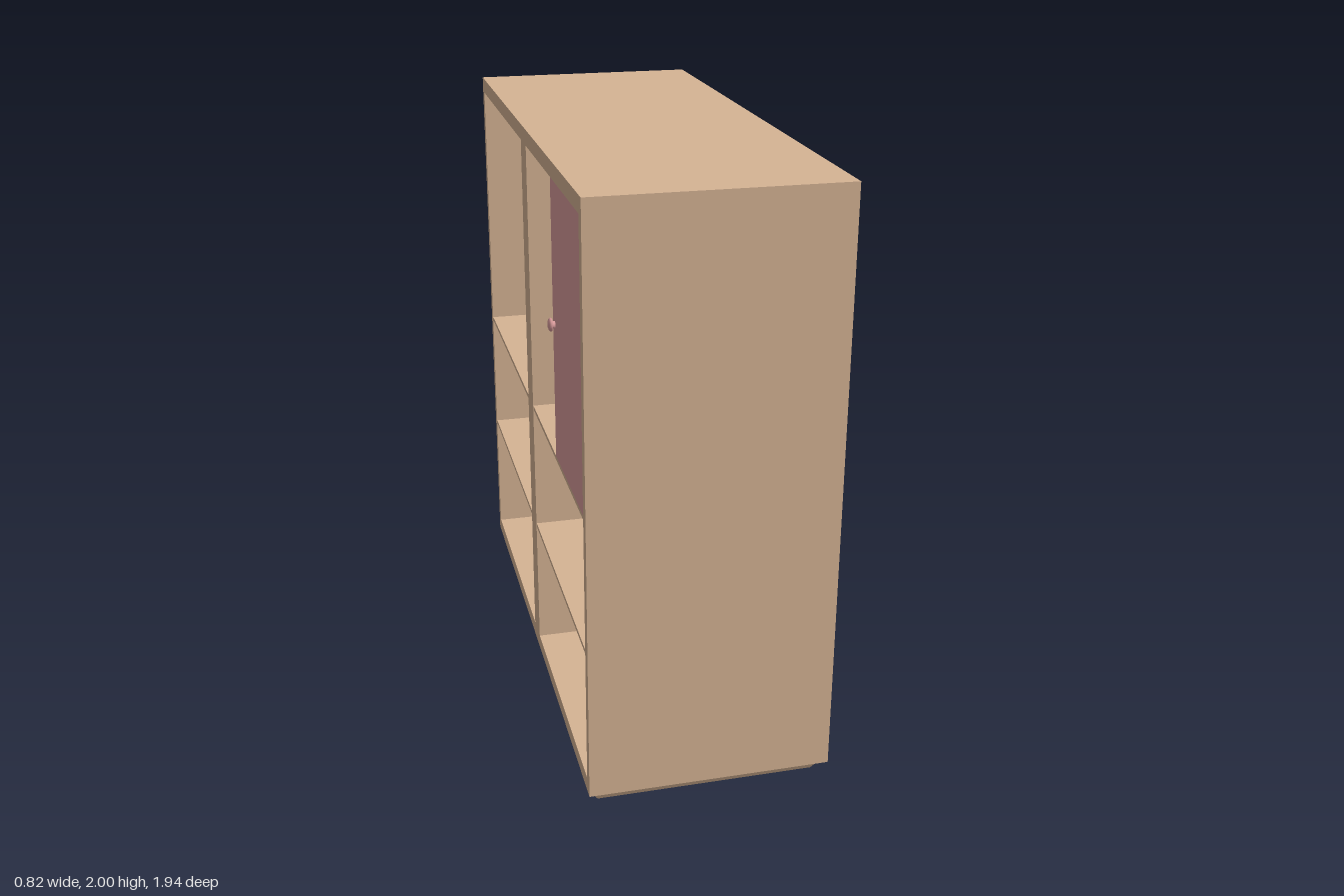
import * as THREE from 'three';

const wood = new THREE.MeshStandardMaterial({ color: 0xd6b494 });
const pink = new THREE.MeshStandardMaterial({ color: 0xd99b9b });

// Cabinet extents: the open side faces -x
const X0 = -0.39, X1 = 0.41, Y0 = 0.055, Y1 = 2, Z = 0.972;
const WALL = 0.035, LOW = 0.104, HIGH = 1.947;
const BAY_IN = 0.05, BAY_OUT = Z - WALL;

function mesh(name, geometry, material) {
  const m = new THREE.Mesh(geometry, material);
  m.name = name;
  return m;
}

// Box given by its minimum and maximum on each axis
function box(name, [x0, x1], [y0, y1], [z0, z1], material = wood) {
  const g = new THREE.BoxGeometry(x1 - x0, y1 - y0, z1 - z0);
  g.translate((x0 + x1) / 2, (y0 + y1) / 2, (z0 + z1) / 2);
  return mesh(name, g, material);
}

function rectangle(PathClass, u0, u1, v0, v1) {
  const p = new PathClass();
  p.moveTo(u0, v0).lineTo(u1, v0).lineTo(u1, v1).lineTo(u0, v1).closePath();
  return p;
}

// Outer case with two bays cut through it
function carcass() {
  const shape = rectangle(THREE.Shape, -Z, Z, Y0, Y1);
  shape.holes.push(
    rectangle(THREE.Path, -BAY_OUT, -BAY_IN, LOW, HIGH),
    rectangle(THREE.Path, BAY_IN, BAY_OUT, LOW, HIGH)
  );
  const g = new THREE.ExtrudeGeometry(shape, { depth: X1 - WALL - X0, bevelEnabled: false });
  g.rotateY(Math.PI / 2).translate(X0, 0, 0);
  return mesh('carcass', g, wood);
}

// Plinth block that tapers towards the floor
function foot(side) {
  const inner = side * 0.05, outer = side * 0.94;
  const lowInner = side * 0.118, lowOuter = side * 0.915;
  const g = new THREE.BoxGeometry(1, 1, 1);
  const p = g.attributes.position;
  for (let i = 0; i < p.count; i++) {
    const top = p.getY(i) > 0;
    const right = p.getX(i) > 0;
    const out = p.getZ(i) * side > 0;
    p.setXYZ(
      i,
      right ? (top ? X1 : X1 - 0.038) : (top ? X0 : X0 + 0.038),
      top ? Y0 : 0,
      out ? (top ? outer : lowOuter) : (top ? inner : lowInner)
    );
  }
  g.computeVertexNormals();
  return mesh('foot', g, wood);
}

// Turned door knob: short stem with a rounded head
function knob() {
  const profile = [[0, 0], [0.011, 0], [0.01, 0.007], [0.02, 0.009], [0.022, 0.014], [0.018, 0.019], [0.01, 0.022], [0, 0.023]];
  const g = new THREE.LatheGeometry(profile.map(([r, h]) => new THREE.Vector2(r, h)), 20);
  g.rotateZ(Math.PI / 2).translate(X0, 1.492, 0.528);
  return mesh('knob', g, pink);
}

export function createModel() {
  const model = new THREE.Group();
  model.name = 'cabinet';

  model.add(carcass());
  model.add(box('backPanel', [X1 - WALL, X1], [Y0, Y1], [-Z, Z]));

  // Thin shelves and a plinth block under each bay
  for (const side of [-1, 1]) {
    const span = side > 0 ? [BAY_IN, BAY_OUT] : [-BAY_OUT, -BAY_IN];
    for (const y of [0.572, 1.031]) {
      model.add(box('shelf', [X0 + 0.001, X1 - WALL], [y - 0.014, y], span));
    }
    model.add(foot(side));
  }

  // Half-width door closing part of the upper compartment
  const door = new THREE.Group();
  door.name = 'door';
  door.add(box('doorPanel', [X0, X0 + 0.018], [1.033, HIGH], [0.497, BAY_OUT], pink));
  door.add(knob());
  model.add(door);

  return model;
}
